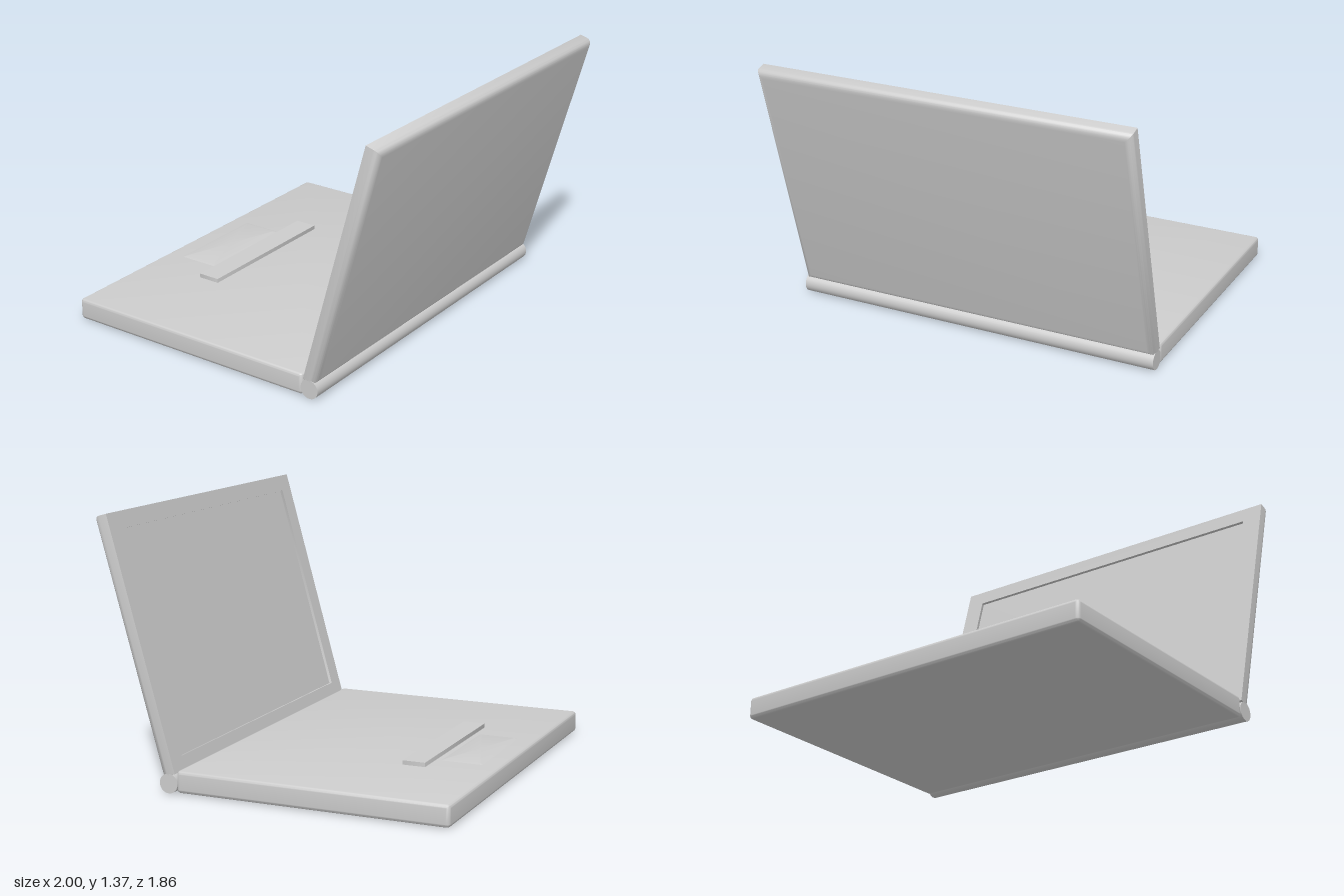
import * as THREE from 'three';
import { toCreasedNormals } from 'three/addons/utils/BufferGeometryUtils.js';

const material = new THREE.MeshStandardMaterial({ color: 0xcccccc });

// Rectangular ring: half width x, from z0 to z1, at height y, corner radius r
const ring = (x, z0, z1, y, r = 0.001) => ({ x, z0, z1, y, r });

// Rings that curl a vertical edge over (or under) with a quarter round
function roundEdge(x, z0, z1, y, radius, corner, dir) {
  const rings = [];
  for (let i = 0; i <= 6; i++) {
    const a = (i / 6) * Math.PI / 2;
    const inset = radius * (1 - Math.cos(a));
    rings.push(ring(x - inset, z0 + inset, z1 - inset,
      y + dir * radius * (Math.sin(a) - 1), Math.max(corner - inset, 0.001)));
  }
  return dir > 0 ? rings : rings.reverse();
}

// Skin a stack of rings and cap both ends
function loft(rings) {
  const steps = 5, n = 4 * steps, pos = [], idx = [];
  for (const { x, z0, z1, y, r } of rings) {
    for (let c = 0; c < 4; c++) {
      const sx = c === 0 || c === 3 ? 1 : -1;
      const cz = c < 2 ? z1 - r : z0 + r;
      for (let i = 0; i < steps; i++) {
        const a = (c + i / (steps - 1)) * Math.PI / 2;
        pos.push(sx * (x - r) + r * Math.cos(a), y, cz + r * Math.sin(a));
      }
    }
  }
  const first = rings[0], last = rings[rings.length - 1];
  const bottom = pos.length / 3, top = bottom + 1;
  pos.push(0, first.y, (first.z0 + first.z1) / 2, 0, last.y, (last.z0 + last.z1) / 2);
  for (let i = 0; i < n; i++) {
    const j = (i + 1) % n;
    for (let k = 0; k < rings.length - 1; k++) {
      const a = k * n, b = a + n;
      idx.push(a + i, b + i, a + j, a + j, b + i, b + j);
    }
    const t = (rings.length - 1) * n;
    idx.push(bottom, i, j, top, t + j, t + i);
  }
  const geometry = new THREE.BufferGeometry();
  geometry.setAttribute('position', new THREE.Float32BufferAttribute(pos, 3));
  geometry.setIndex(idx);
  return toCreasedNormals(geometry, 0.6);
}

export function createModel() {
  const model = new THREE.Group();
  model.name = 'laptop';
  const add = (name, geometry) => {
    const mesh = new THREE.Mesh(geometry, material);
    mesh.name = name;
    model.add(mesh);
    return mesh;
  };

  // Base slab with softened edges
  add('base', loft([
    ...roundEdge(1, -0.93, 0.505, 0.005, 0.018, 0.02, -1),
    ...roundEdge(1, -0.93, 0.505, 0.118, 0.018, 0.02, 1),
  ]));

  // Low touchpad with sloping sides
  add('touchpad', loft([
    ring(0.295, -0.84, -0.605, 0.115, 0.01),
    ring(0.265, -0.815, -0.63, 0.124, 0.01),
  ]));

  // Raised bar behind the touchpad
  add('bar', loft([
    ring(0.437, -0.585, -0.465, 0.11),
    ring(0.437, -0.585, -0.465, 0.14),
  ]));

  // Hinge barrel across the full width
  const hinge = add('hinge', new THREE.CylinderGeometry(0.05, 0.05, 2, 32));
  hinge.rotation.z = Math.PI / 2;
  hinge.position.set(0, 0.05, 0.547);

  // Tilted lid: recessed screen, flat bezel, rounded outer shell
  const lid = add('lid', loft([
    ring(0.895, -1.21, -0.05, 0.015),
    ring(0.895, -1.21, -0.05, 0),
    ring(1, -1.297, 0.02, 0),
    ...roundEdge(1, -1.297, 0.02, 0.077, 0.035, 0.001, 1),
  ]));
  lid.position.set(0, 0.12, 0.517);
  lid.rotation.x = THREE.MathUtils.degToRad(90 + 15.6);

  return model;
}
